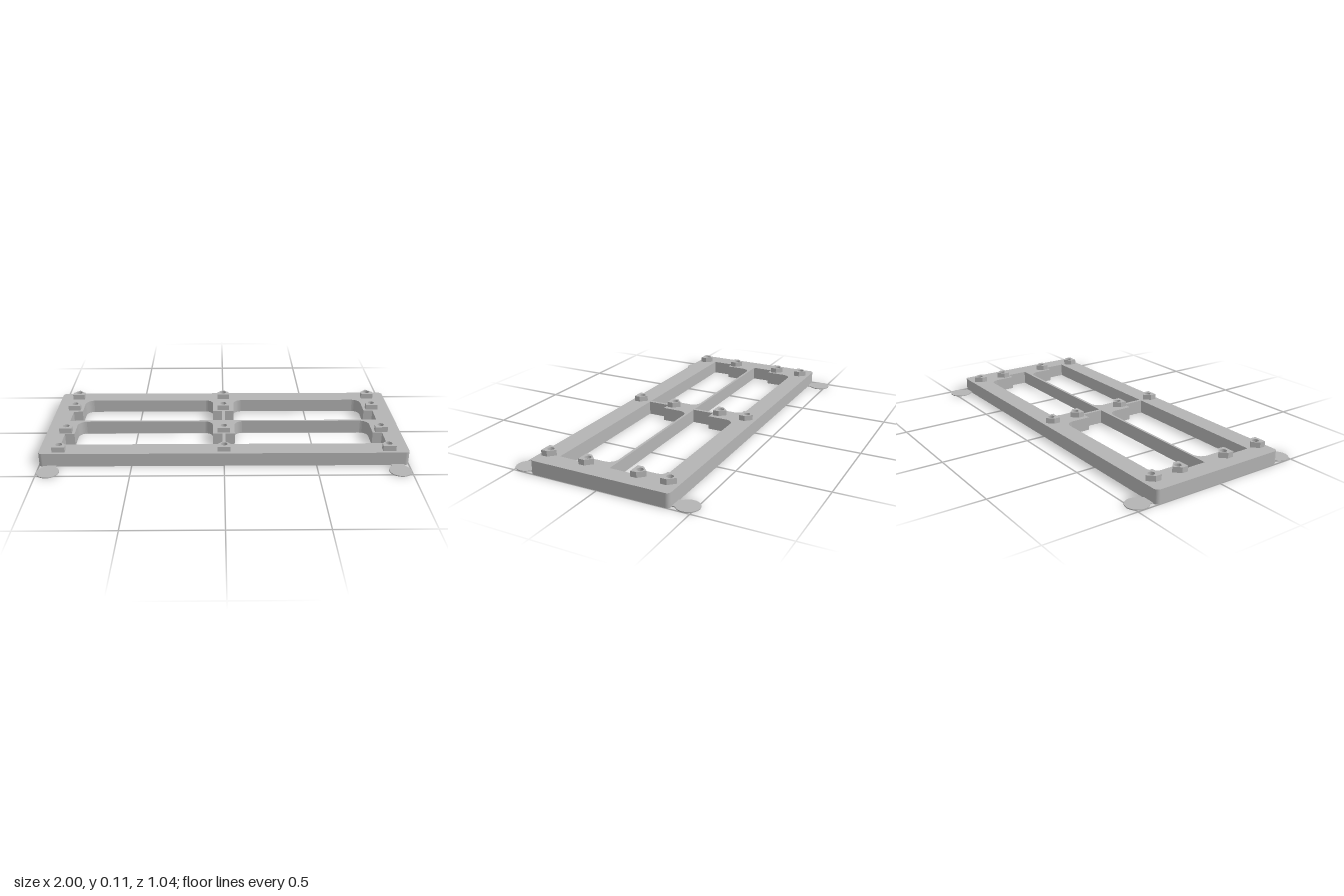
import * as THREE from 'three';

const TOP = 0.076, BORE = 0.036, BOSS_TOP = 0.106;
const COLUMNS = [-0.893, 0, 0.893];
const ROWS = [-0.342, -0.18, 0.117, 0.342];

// Extrude a plan outline (shape x,y = world x,z) between two heights
function slab(shape, y0, y1) {
  const geo = new THREE.ExtrudeGeometry(shape, { depth: y1 - y0, bevelEnabled: false, curveSegments: 10 });
  geo.rotateX(Math.PI / 2);
  geo.translate(0, y1, 0);
  return geo;
}

function circlePath(x, z, r) {
  const p = new THREE.Path();
  p.absarc(x, z, r, 0, Math.PI * 2, true);
  return p;
}

// Stepped window: narrow with rounded corners at the back, wide at the front
function windowPath(side, back, step, front) {
  const r = 0.045, nIn = 0.062 * side, nOut = 0.842 * side, wIn = 0.009 * side, wOut = 0.895 * side;
  const p = new THREE.Path();
  p.moveTo(nIn + r * side, back);
  p.lineTo(nOut - r * side, back);
  p.quadraticCurveTo(nOut - r * side * 0.15, back + r * 0.15, nOut, back + r);
  p.lineTo(nOut, step);
  p.lineTo(wOut, step);
  p.lineTo(wOut, front);
  p.lineTo(wIn, front);
  p.lineTo(wIn, step);
  p.lineTo(nIn, step);
  p.lineTo(nIn, back + r);
  p.quadraticCurveTo(nIn + r * side * 0.15, back + r * 0.15, nIn + r * side, back);
  return p;
}

// Rounded rectangular frame with four windows and a grid of screw holes
function frameShape(holeRadius) {
  const w = 1, d = 0.395, r = 0.022;
  const s = new THREE.Shape();
  s.absarc(w - r, d - r, r, 0, Math.PI / 2);
  s.absarc(-w + r, d - r, r, Math.PI / 2, Math.PI);
  s.absarc(-w + r, -d + r, r, Math.PI, Math.PI * 1.5);
  s.absarc(w - r, -d + r, r, Math.PI * 1.5, Math.PI * 2);
  s.closePath();
  for (const side of [-1, 1]) {
    s.holes.push(windowPath(side, -0.289, -0.131, -0.009));
    s.holes.push(windowPath(side, 0.005, 0.16, 0.286));
  }
  for (const x of COLUMNS) for (const z of ROWS) s.holes.push(circlePath(x, z, holeRadius));
  return s;
}

export function createModel() {
  const model = new THREE.Group();
  model.name = 'mountingFrame';
  const grey = new THREE.MeshStandardMaterial({ color: 0xb4b4b4 });
  grey.name = 'plainGrey';
  const add = (name, geo, x = 0, z = 0) => {
    const mesh = new THREE.Mesh(geo, grey);
    mesh.name = name;
    mesh.position.set(x, 0, z);
    model.add(mesh);
  };

  // Frame: lower layer has wide bores, upper layer narrow holes
  add('frameLower', slab(frameShape(0.032), 0, BORE));
  add('frameUpper', slab(frameShape(0.018), BORE, TOP));

  // Five-sided bosses pointing to the back, each with a through hole
  const pentagon = new THREE.Shape([[-0.035, 0.034], [-0.035, 0], [0, -0.035], [0.035, 0], [0.035, 0.034]]
    .map(([x, z]) => new THREE.Vector2(x, z)));
  pentagon.holes.push(circlePath(0, 0, 0.018));
  const bossGeo = slab(pentagon, TOP, BOSS_TOP);
  for (const x of COLUMNS) for (const z of ROWS) add('boss', bossGeo, x, z);

  // Thin corner pads with short necks to the frame
  const padGeo = new THREE.CylinderGeometry(0.06, 0.06, 0.005, 40).translate(0, 0.0025, 0);
  const neckGeo = new THREE.BoxGeometry(0.07, 0.005, 0.03).translate(0, 0.0025, 0);
  for (const sx of [-1, 1]) for (const sz of [-1, 1]) {
    add('cornerPad', padGeo, 0.94 * sx, 0.461 * sz);
    add('padNeck', neckGeo, 0.94 * sx, 0.409 * sz);
  }
  return model;
}
